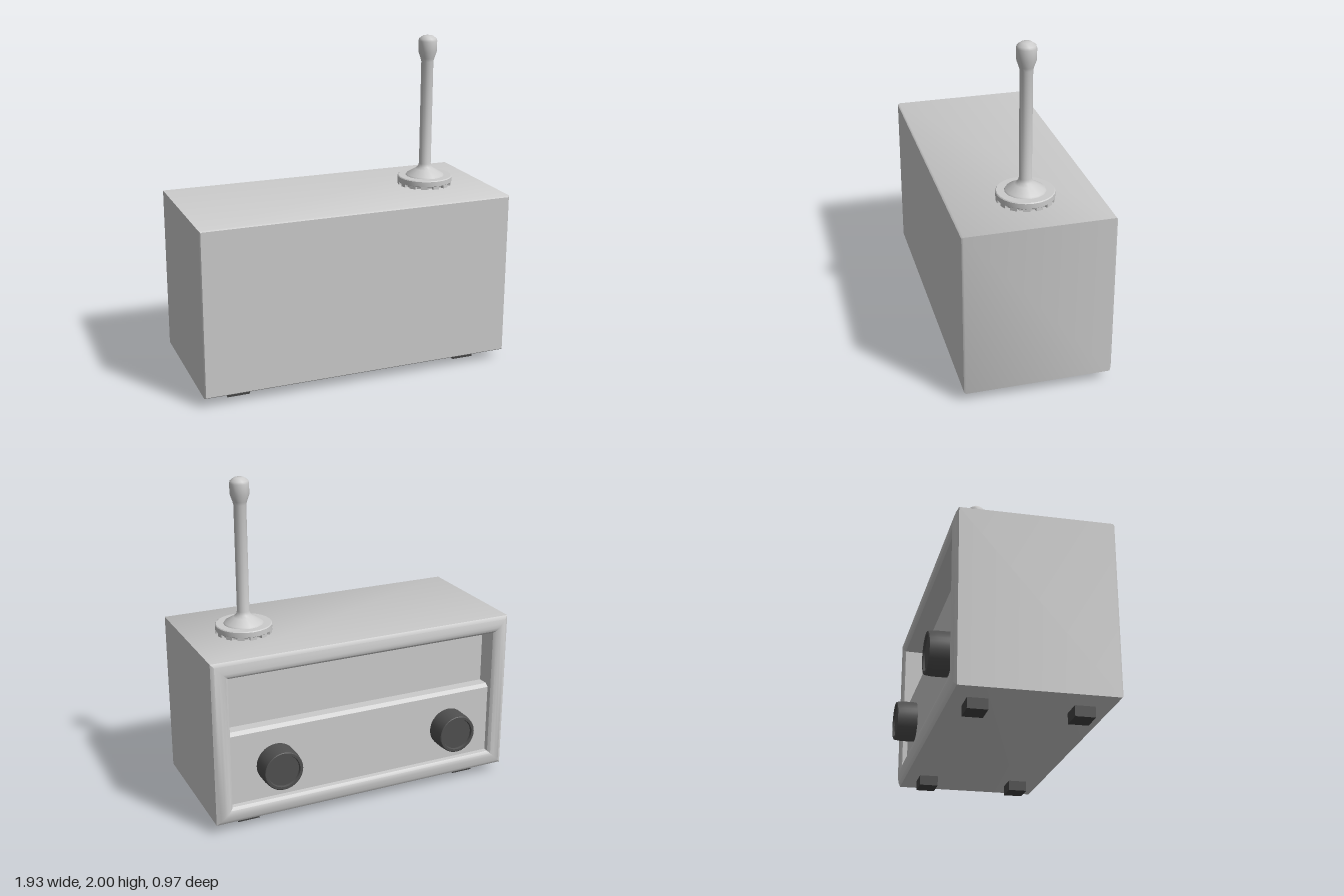
import * as THREE from 'three';
import { toCreasedNormals } from 'three/addons/utils/BufferGeometryUtils.js';

const grey = new THREE.MeshStandardMaterial({ color: 0xcccccc });
const dark = new THREE.MeshStandardMaterial({ color: 0x505050 });
const black = new THREE.MeshStandardMaterial({ color: 0x444444 });

function add(parent, name, geometry, material, x = 0, y = 0, z = 0) {
  const mesh = new THREE.Mesh(geometry, material);
  mesh.name = name;
  mesh.position.set(x, y, z);
  parent.add(mesh);
  return mesh;
}

// Joins rectangular rings, each given as [inset, z], running from +z to -z and into the recess.
function rectLoft(halfW, halfH, rings) {
  const positions = [];
  const index = [];
  for (const [inset, z] of rings) {
    const w = halfW - inset, h = halfH - inset;
    positions.push(w, h, z, -w, h, z, -w, -h, z, w, -h, z);
  }
  for (let r = 0; r < rings.length - 1; r++) {
    for (let i = 0; i < 4; i++) {
      const a = r * 4 + i, b = r * 4 + (i + 1) % 4;
      index.push(a, a + 4, b, b, a + 4, b + 4);
    }
  }
  const geometry = new THREE.BufferGeometry();
  geometry.setAttribute('position', new THREE.Float32BufferAttribute(positions, 3));
  geometry.setIndex(index);
  return toCreasedNormals(geometry, 0.7);
}

function lathe(points, segments, crease = 0.6) {
  const geometry = new THREE.LatheGeometry(points.map(([r, y]) => new THREE.Vector2(r, y)), segments);
  return toCreasedNormals(geometry, crease);
}

function createCabinet() {
  const cabinet = new THREE.Group();
  cabinet.name = 'cabinet';
  // Shell with a rounded rim that turns into the dial recess
  add(cabinet, 'shell', rectLoft(0.965, 0.505, [
    [0.008, 0.485], [0, 0.475], [0, -0.385], [0.02, -0.398], [0.045, -0.407],
    [0.065, -0.41], [0.085, -0.405], [0.1, -0.39], [0.105, -0.26],
  ]), grey, 0, 0.565, 0);
  add(cabinet, 'plainPanel', new THREE.PlaneGeometry(1.914, 0.994), grey, 0, 0.565, 0.485);
  add(cabinet, 'dialPanel', new THREE.BoxGeometry(1.75, 0.84, 0.02), grey, 0, 0.565, -0.265);

  // Lower control panel with a chamfered top ledge
  const section = new THREE.Shape([
    [0.27, 0.15], [0.36, 0.15], [0.36, 0.595], [0.34, 0.615], [0.27, 0.615],
  ].map(([x, y]) => new THREE.Vector2(x, y)));
  const panel = new THREE.ExtrudeGeometry(section, { depth: 1.74, bevelEnabled: false });
  panel.translate(0, 0, -0.87);
  panel.rotateY(Math.PI / 2); // section x becomes -z
  add(cabinet, 'controlPanel', panel, grey);
  return cabinet;
}

function createAntenna() {
  const antenna = new THREE.Group();
  antenna.name = 'antenna';
  antenna.position.set(0.61, 0, 0.035);
  add(antenna, 'baseDisc', lathe([
    [0.15, 1.065], [0.15, 1.085], [0.165, 1.085], [0.17, 1.09], [0.17, 1.12], [0.165, 1.125], [0, 1.125],
  ], 24), grey);
  // Grip teeth under the disc rim
  for (let i = 0; i < 14; i++) {
    const angle = (i / 14) * Math.PI * 2;
    const tooth = add(antenna, 'gripTooth', new THREE.BoxGeometry(0.04, 0.025, 0.025), grey,
      Math.sin(angle) * 0.155, 1.078, Math.cos(angle) * 0.155);
    tooth.rotation.y = angle;
  }
  // Flared foot, rod and tip
  add(antenna, 'rod', lathe([
    [0.12, 1.125], [0.115, 1.133], [0.06, 1.165], [0.043, 1.18], [0.037, 1.2], [0.037, 1.84],
    [0.042, 1.86], [0.056, 1.9], [0.057, 1.965], [0.053, 1.98], [0.03, 1.997], [0, 2],
  ], 16, 0.9), grey);
  return antenna;
}

export function createModel() {
  const radio = new THREE.Group();
  radio.name = 'radio';
  radio.add(createCabinet(), createAntenna());

  // Control knobs with a raised rim around a sunken face
  const knob = lathe([
    [0.124, 0], [0.124, 0.09], [0.119, 0.132], [0.115, 0.135],
    [0.1, 0.135], [0.096, 0.123], [0, 0.123],
  ], 32);
  knob.rotateX(-Math.PI / 2);
  for (const x of [-0.58, 0.575]) add(radio, 'knob', knob, dark, x, 0.375, -0.35);

  // Feet
  const foot = new THREE.BoxGeometry(0.135, 0.065, 0.113);
  for (const x of [-0.735, 0.735]) {
    for (const z of [-0.245, 0.328]) add(radio, 'foot', foot, black, x, 0.0325, z);
  }
  return radio;
}
